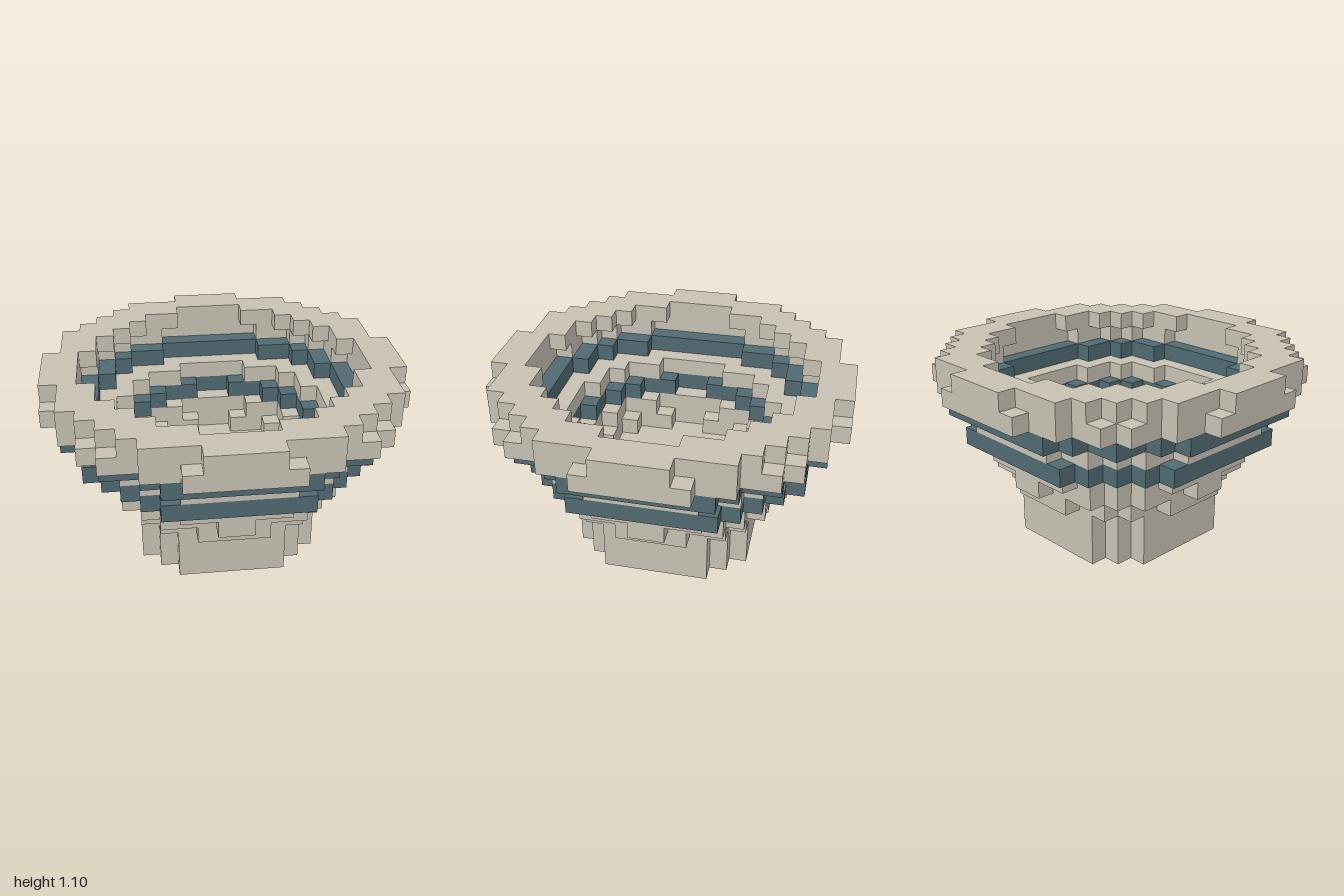
import * as THREE from 'three';

const CELL = 0.1;

// Each block layer, bottom to top: squared outer and inner radius in cells
const LAYERS = [
  { part: 'foot', outer: 28, inner: 10 },
  { part: 'foot', outer: 28, inner: 10 },
  { part: 'foot', outer: 28, inner: 10 },
  { part: 'bowlFloor', outer: 34, inner: 0 },
  { part: 'bowlWall', outer: 43, inner: 21 },
  { part: 'bowlWall', outer: 49, inner: 25 },
  { part: 'lowerBand', outer: 70, inner: 31 },
  { part: 'bowlWall', outer: 64, inner: 34 },
  { part: 'upperBand', outer: 85, inner: 52 },
  { part: 'rim', outer: 100, inner: 64 },
  { part: 'rim', outer: 94, inner: 59 },
];

// Is there a block in this cell?
function filled(i, j, k) {
  const layer = LAYERS[j];
  if (!layer) return false;
  const d = (i + 0.5) ** 2 + (k + 0.5) ** 2;
  return d <= layer.outer && d > layer.inner;
}

// Face directions, each with two edge axes where u x v = n
const axis = (x, y, z) => new THREE.Vector3(x, y, z);
const FACES = [
  [axis(1, 0, 0), axis(0, 1, 0), axis(0, 0, 1)],
  [axis(-1, 0, 0), axis(0, 0, 1), axis(0, 1, 0)],
  [axis(0, 1, 0), axis(0, 0, 1), axis(1, 0, 0)],
  [axis(0, -1, 0), axis(1, 0, 0), axis(0, 0, 1)],
  [axis(0, 0, 1), axis(1, 0, 0), axis(0, 1, 0)],
  [axis(0, 0, -1), axis(0, 1, 0), axis(1, 0, 0)],
];
const CORNERS = [[-1, -1], [1, -1], [1, 1], [-1, -1], [1, 1], [-1, 1]];

// Only the exposed block faces of one part
function blockGeometry(part) {
  const positions = [];
  const normals = [];
  LAYERS.forEach((layer, j) => {
    if (layer.part !== part) return;
    for (let i = -10; i < 10; i++) {
      for (let k = -10; k < 10; k++) {
        if (!filled(i, j, k)) continue;
        const centre = axis(i + 0.5, j + 0.5, k + 0.5);
        for (const [n, u, v] of FACES) {
          if (filled(i + n.x, j + n.y, k + n.z)) continue;
          for (const [a, b] of CORNERS) {
            const p = centre.clone().addScaledVector(n, 0.5)
              .addScaledVector(u, a / 2).addScaledVector(v, b / 2)
              .multiplyScalar(CELL);
            positions.push(p.x, p.y, p.z);
            normals.push(n.x, n.y, n.z);
          }
        }
      }
    }
  });
  const geometry = new THREE.BufferGeometry();
  geometry.setAttribute('position', new THREE.Float32BufferAttribute(positions, 3));
  geometry.setAttribute('normal', new THREE.Float32BufferAttribute(normals, 3));
  return geometry;
}

export function createModel() {
  const stone = new THREE.MeshStandardMaterial({ color: 0xc7c1b3 });
  stone.name = 'paleStone';
  const teal = new THREE.MeshStandardMaterial({ color: 0x506a72 });
  teal.name = 'darkTeal';

  const model = new THREE.Group();
  model.name = 'blockPlanter';
  const parts = {
    foot: stone, bowlFloor: stone, bowlWall: stone,
    lowerBand: teal, upperBand: teal, rim: stone,
  };
  for (const [name, material] of Object.entries(parts)) {
    const mesh = new THREE.Mesh(blockGeometry(name), material);
    mesh.name = name;
    model.add(mesh);
  }
  return model;
}
